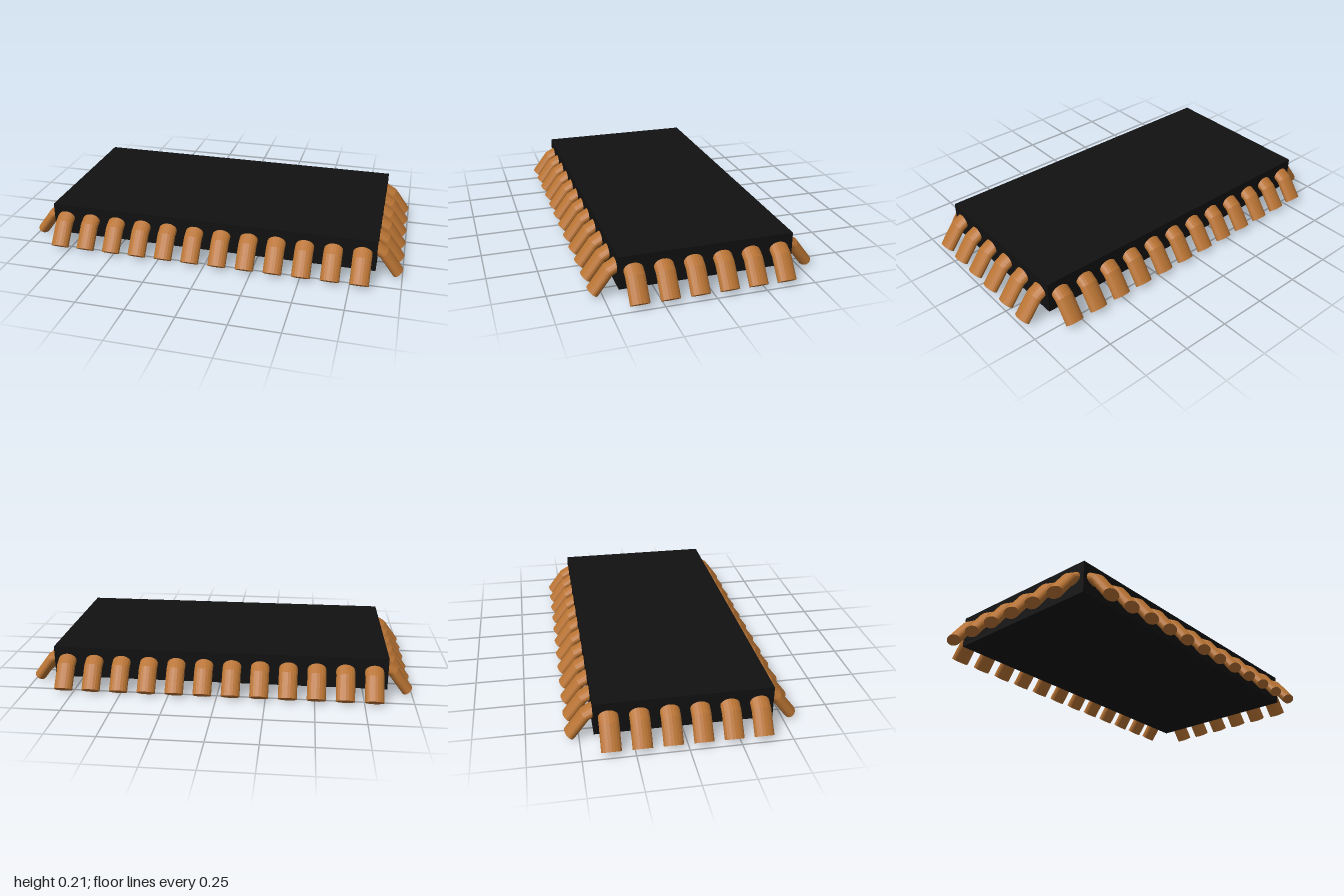
import * as THREE from 'three';

const BODY = { x: 0.867, z: 0.433, bottom: 0.047, top: 0.213 };
const PITCH = 0.145;

// One bent, flattened pin: a cylinder whose three rings follow a kinked centre line.
// Local z = 0 is the body wall, +z points outward.
function pinGeometry() {
  const halfWidth = 0.048, halfThick = 0.03;
  const lower = THREE.MathUtils.degToRad(52.5), upper = THREE.MathUtils.degToRad(30);
  const mid = (lower + upper) / 2;
  const rings = [
    { y: 0.019, z: 0.110, a: lower, k: 1 },
    { y: 0.121, z: 0.033, a: mid, k: 1 / Math.cos((lower - upper) / 2) },
    { y: 0.158, z: -0.031, a: upper, k: 1 },
  ];
  const geo = new THREE.CylinderGeometry(1, 1, 1, 20, 2);
  const p = geo.attributes.position;
  for (let i = 0; i < p.count; i++) {
    const r = rings[Math.round((p.getY(i) + 0.5) * 2)];
    const d = p.getZ(i) * halfThick * r.k;
    p.setXYZ(i, p.getX(i) * halfWidth, r.y + d * Math.cos(r.a), r.z + d * Math.sin(r.a));
  }
  geo.computeVertexNormals();
  return geo;
}

export function createModel() {
  const group = new THREE.Group();
  const black = new THREE.MeshStandardMaterial({ color: 0x111111 });
  const copper = new THREE.MeshStandardMaterial({ color: 0xb87333, flatShading: true });

  // Flat rectangular package
  const height = BODY.top - BODY.bottom;
  const body = new THREE.Mesh(new THREE.BoxGeometry(BODY.x * 2, height, BODY.z * 2), black);
  body.name = 'body';
  body.position.y = BODY.bottom + height / 2;
  group.add(body);

  // A row of pins on each of the four walls
  const geo = pinGeometry();
  const rows = [
    { name: 'frontPins', count: 12, wall: BODY.z, turn: 0 },
    { name: 'leftPins', count: 6, wall: BODY.x, turn: Math.PI / 2 },
    { name: 'backPins', count: 12, wall: BODY.z, turn: Math.PI },
    { name: 'rightPins', count: 6, wall: BODY.x, turn: -Math.PI / 2 },
  ];
  for (const { name, count, wall, turn } of rows) {
    const row = new THREE.Group();
    row.name = name;
    row.rotation.y = turn;
    for (let i = 0; i < count; i++) {
      const pin = new THREE.Mesh(geo, copper);
      pin.name = 'pin';
      pin.position.set((i - (count - 1) / 2) * PITCH, 0, wall);
      row.add(pin);
    }
    group.add(row);
  }
  return group;
}
